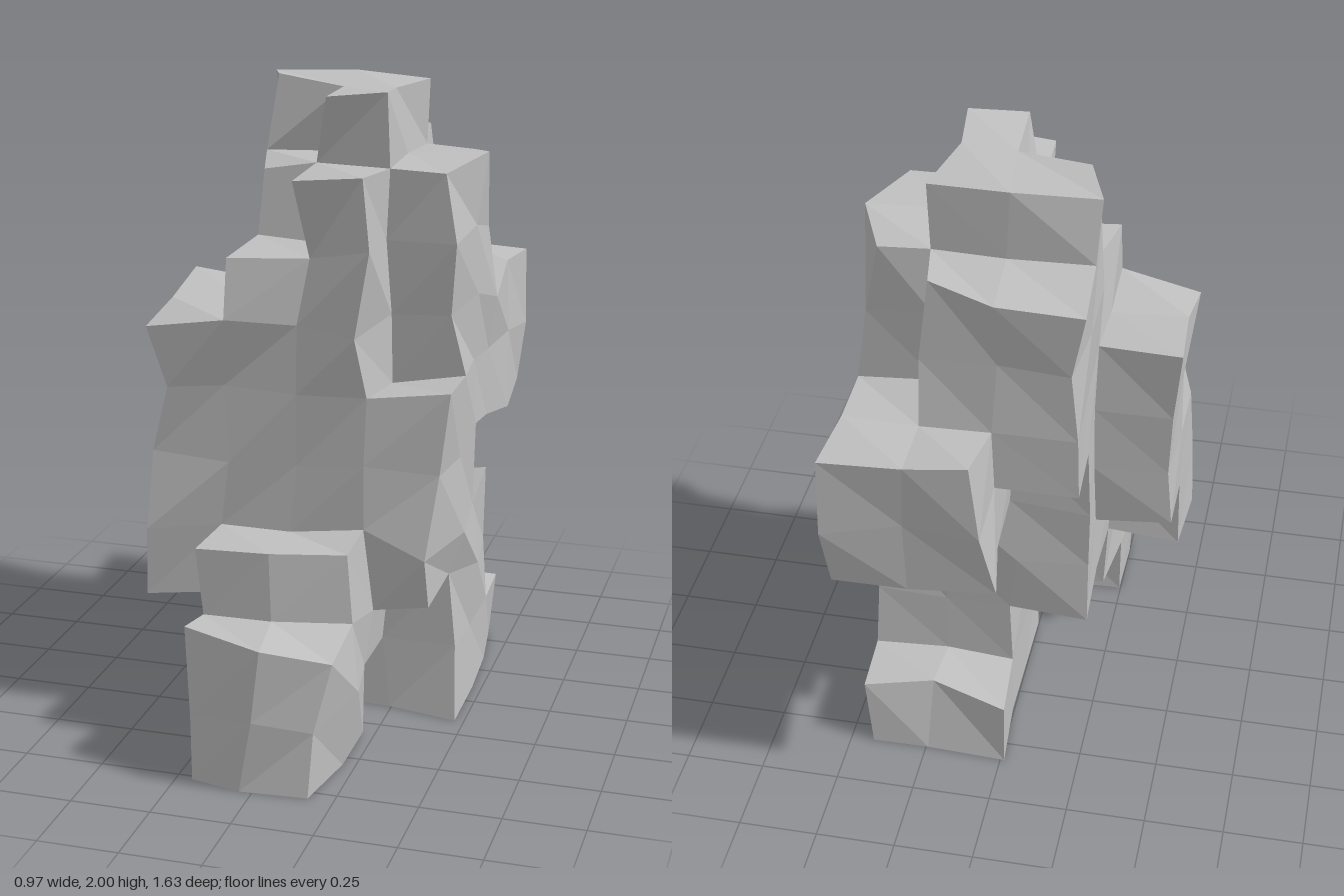
import * as THREE from 'three';

// Each part is solid columns of stone on a 4 x 9 x 7 lattice, [column x, depth z, first row, last row],
// with its main silhouette corners placed by hand and keyed by lattice index
const PARTS = {
  frontFoot: {
    columns: [[1, 5, 0, 2], [2, 5, 0, 2], [1, 6, 0, 1], [2, 6, 0, 1]],
    corners: {
      127: [-0.23, 0.48, 0.73], 227: [0.03, 0.465, 0.815], 327: [0.23, 0.415, 0.735],
      117: [-0.21, 0.2, 0.75], 317: [0.18, 0.2, 0.765], 107: [-0.2, 0, 0.77],
      207: [-0.04, 0, 0.805], 307: [0.17, 0, 0.79], 116: [-0.26, 0.2, 0.55],
      316: [0.26, 0.25, 0.55], 306: [0.21, 0, 0.55], 106: [-0.25, 0, 0.55],
      136: [-0.255, 0.66, 0.555], 236: [-0.02, 0.67, 0.56], 336: [0.21, 0.67, 0.505],
      126: [-0.23, 0.45, 0.56], 326: [0.23, 0.455, 0.515], 335: [0.22, 0.7, 0.36],
      315: [0.23, 0.26, 0.375], 305: [0.21, 0, 0.315],
    },
  },
  rearFoot: {
    columns: [
      [2, 1, 0, 0], [3, 1, 0, 0], [2, 2, 0, 1], [3, 2, 0, 1], [2, 3, 0, 1], [3, 3, 0, 1],
    ],
    corners: {
      404: [0.47, 0, 0.155], 401: [0.425, 0, -0.565], 411: [0.45, 0.23, -0.55],
      311: [0.23, 0.25, -0.51], 412: [0.46, 0.23, -0.34], 422: [0.45, 0.45, -0.32],
    },
  },
  trunk: {
    columns: [
      [1, 2, 2, 7], [1, 3, 2, 7], [1, 4, 1, 6], [1, 1, 5, 7],
      [2, 1, 4, 7], [2, 2, 2, 7], [2, 3, 2, 7], [2, 4, 1, 7],
    ],
    corners: {
      285: [0, 1.77, 0.37], 385: [0.215, 1.79, 0.37], 184: [-0.18, 1.74, 0.07],
      284: [-0.01, 1.77, 0.08], 174: [-0.19, 1.54, 0.11], 274: [-0.02, 1.54, 0.15],
      175: [-0.22, 1.515, 0.33], 275: [0.03, 1.52, 0.29], 183: [-0.22, 1.77, -0.08],
      375: [0.235, 1.57, 0.365], 365: [0.19, 1.3, 0.365],
      181: [-0.26, 1.76, -0.58], 281: [0, 1.775, -0.59], 381: [0.2, 1.8, -0.53],
      371: [0.23, 1.54, -0.545], 382: [0.24, 1.77, -0.32],
      122: [-0.24, 0.45, -0.35], 132: [-0.24, 0.67, -0.34],
    },
  },
  sideSlab: {
    columns: [[0, 3, 3, 5], [0, 4, 2, 5]],
    corners: {
      '065': [-0.48, 1.285, 0.34], '063': [-0.485, 1.36, -0.14], '055': [-0.41, 1.1, 0.35],
      '035': [-0.475, 0.64, 0.385], '025': [-0.485, 0.415, 0.37], 165: [-0.22, 1.33, 0.365],
      '033': [-0.47, 0.7, -0.12],
    },
  },
  sideButtress: {
    columns: [[3, 4, 2, 4], [3, 3, 2, 7], [3, 2, 2, 2], [3, 2, 4, 7]],
    corners: {
      482: [0.4, 1.76, -0.32], 483: [0.48, 1.79, -0.14], 484: [0.405, 1.765, 0.115],
      474: [0.45, 1.56, 0.155], 464: [0.43, 1.33, 0.125], 472: [0.45, 1.52, -0.3],
      384: [0.23, 1.77, 0.11], 424: [0.43, 0.48, 0.1], 425: [0.42, 0.455, 0.33],
      435: [0.415, 0.62, 0.37], 445: [0.445, 0.88, 0.315], 434: [0.48, 0.63, 0.11],
      455: [0.475, 1.14, 0.31], 355: [0.22, 1.11, 0.33], 454: [0.475, 1.14, 0.11],
      433: [0.45, 0.635, -0.14], 432: [0.46, 0.71, -0.29],
    },
  },
  rearOutcrop: {
    columns: [[2, 0, 4, 5], [3, 0, 4, 5], [3, 1, 4, 5]],
    corners: {
      260: [0.03, 1.37, -0.81], 460: [0.475, 1.33, -0.81], 450: [0.48, 1.07, -0.815],
      440: [0.46, 0.875, -0.785], 441: [0.48, 0.85, -0.53], 443: [0.46, 0.915, -0.12],
      240: [-0.04, 0.9, -0.785], 462: [0.48, 1.285, -0.315], 461: [0.455, 1.34, -0.59],
      341: [0.24, 0.93, -0.57], 442: [0.45, 0.88, -0.33],
    },
  },
  peak: {
    columns: [[1, 2, 8, 8], [2, 2, 8, 8], [2, 3, 8, 8]],
    corners: {
      192: [-0.26, 1.985, -0.31], 193: [-0.2, 2, -0.15], 293: [0.03, 1.98, -0.08],
      294: [0.04, 1.985, 0.15], 394: [0.22, 2, 0.11], 392: [0.25, 1.98, -0.31],
      393: [0.2, 1.985, -0.07],
    },
  },
};
const CORNERS = Object.assign({}, ...Object.values(PARTS).map((part) => part.corners));

// Small repeatable offset in the range -1..1
function wobble(i, j, k, axis) {
  const s = Math.sin(i * 127.1 + j * 311.7 + k * 74.7 + axis * 53.3) * 43758.5453;
  return (s - Math.floor(s)) * 2 - 1;
}

// Position of a lattice corner, roughened unless it is a chosen one
function corner([i, j, k]) {
  const chosen = CORNERS[`${i}${j}${k}`];
  if (chosen) return chosen;
  const rough = 0.017;
  const y = (j * 2) / 9;
  return [
    (i - 2) * 0.232 + wobble(i, j, k, 0) * rough,
    j === 0 ? 0 : Math.min(2, y + wobble(i, j, k, 1) * rough),
    (k - 3.5) * 0.228 + wobble(i, j, k, 2) * rough,
  ];
}

// Every filled cell of a part's columns
function cellsOf(columns) {
  const cells = [];
  for (const [x, z, first, last] of columns) {
    for (let y = first; y <= last; y++) cells.push([x, y, z]);
  }
  return cells;
}

export function createModel() {
  const group = new THREE.Group();
  group.name = 'rockFormation';

  // The feet are open underneath, so the inside shows too
  const stone = new THREE.MeshStandardMaterial({ color: 0xc0c0c0 });
  stone.name = 'greyStone';
  stone.flatShading = true;
  stone.side = THREE.DoubleSide;

  const filled = new Set();
  for (const { columns } of Object.values(PARTS)) {
    for (const cell of cellsOf(columns)) filled.add(cell.join());
  }

  for (const [name, { columns }] of Object.entries(PARTS)) {
    const positions = [];
    for (const cell of cellsOf(columns)) {
      for (let a = 0; a < 3; a++) {
        const b = (a + 1) % 3;
        const c = (a + 2) % 3;
        for (const side of [0, 1]) {
          // Only faces open to the air are built, none on the ground
          const next = [...cell];
          next[a] += side ? 1 : -1;
          if (next[1] < 0 || filled.has(next.join())) continue;
          const at = (u, v) => {
            const p = [...cell];
            p[a] += side;
            p[b] += u;
            p[c] += v;
            return corner(p);
          };
          const quad = [at(0, 0), at(1, 0), at(1, 1), at(0, 1)];
          const order = side ? [0, 1, 2, 0, 2, 3] : [0, 2, 1, 0, 3, 2];
          for (const n of order) positions.push(...quad[n]);
        }
      }
    }
    const geometry = new THREE.BufferGeometry();
    geometry.setAttribute('position', new THREE.Float32BufferAttribute(positions, 3));
    geometry.computeVertexNormals();
    const mesh = new THREE.Mesh(geometry, stone);
    mesh.name = name;
    group.add(mesh);
  }
  return group;
}
